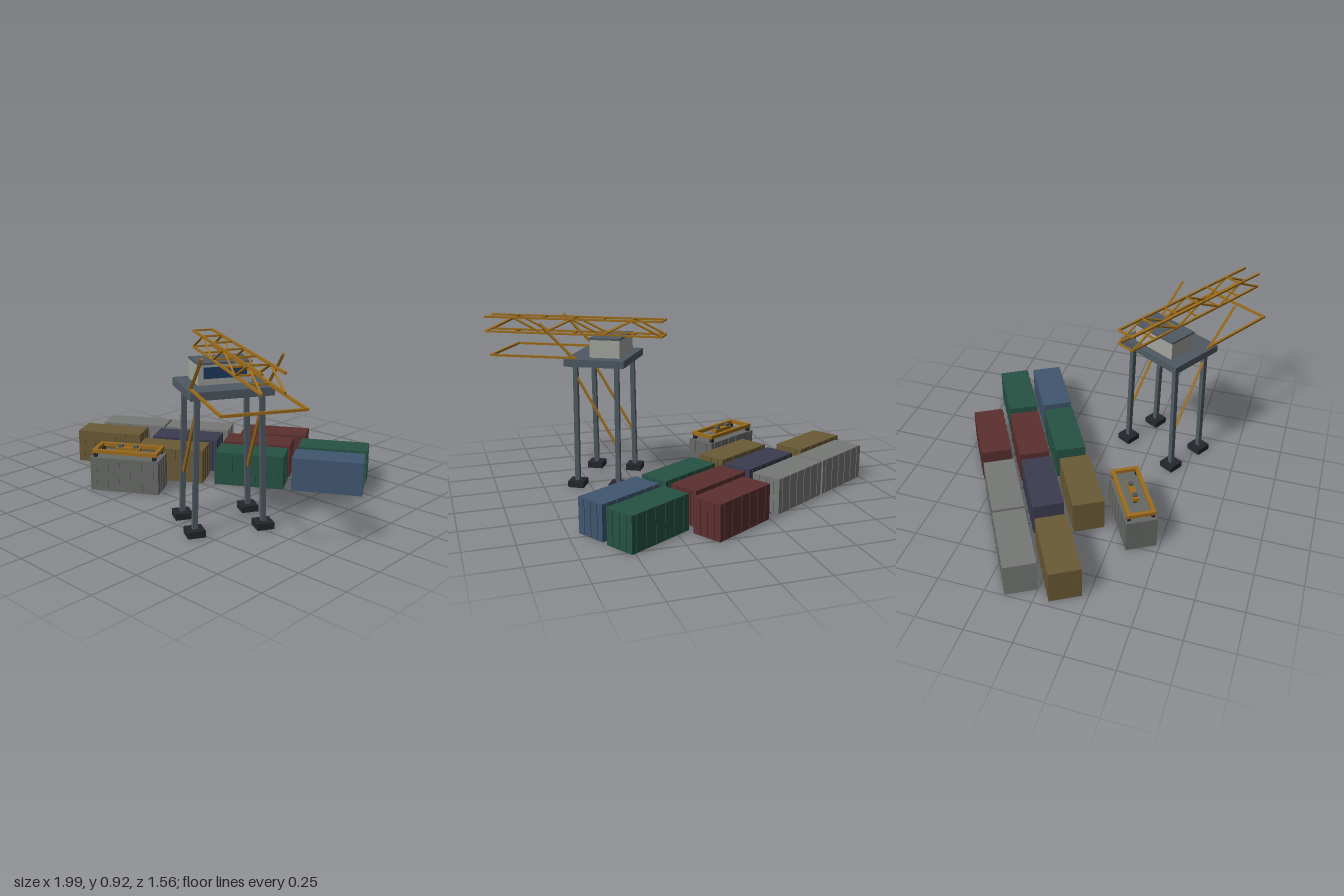
import * as THREE from 'three';

const mat = (color) => new THREE.MeshStandardMaterial({ color });
const steel = mat(0x4f5962), dark = mat(0x23272c), yellow = mat(0x9c6c1c);
const cabinGrey = mat(0xa2a49d), glass = mat(0x1f3a63);
const forward = new THREE.Vector3(0, 0, 1);

function box(parent, name, material, size, pos) {
  const mesh = new THREE.Mesh(new THREE.BoxGeometry(...size), material);
  mesh.name = name;
  mesh.position.set(...pos);
  parent.add(mesh);
  return mesh;
}

// Square bar running from point a to point b
function bar(parent, name, material, a, b, t) {
  const start = new THREE.Vector3(...a), span = new THREE.Vector3(...b).sub(start);
  const mesh = box(parent, name, material, [t, t, span.length()], a);
  mesh.position.addScaledVector(span, 0.5);
  mesh.quaternion.setFromUnitVectors(forward, span.normalize());
}

function group(parent, name, x, z, angle) {
  const g = new THREE.Group();
  g.name = name;
  g.position.set(x, 0, z);
  g.rotation.y = THREE.MathUtils.degToRad(angle);
  parent.add(g);
  return g;
}

// Shipping container with ribbed sides and door bars
function container(parent, x, z, color) {
  const g = group(parent, 'container', x, z, 30), m = mat(color);
  box(g, 'containerBody', m, [0.386, 0.188, 0.166], [0, 0.094, 0]);
  for (const s of [-1, 1]) {
    for (let i = 0; i < 6; i++) {
      box(g, 'sideRib', m, [0.012, 0.18, 0.003], [-0.16 + i * 0.064, 0.094, s * 0.0845]);
    }
    for (const d of [-0.045, 0, 0.045]) {
      box(g, 'endRib', m, [0.003, 0.18, 0.01], [s * 0.1945, 0.094, d]);
    }
  }
}

// Lifting frame resting on a container
function spreader(parent, x, z) {
  const g = group(parent, 'spreader', x, z, 30);
  for (const s of [-1, 1]) {
    box(g, 'longBeam', yellow, [0.366, 0.02, 0.02], [0, 0.22, s * 0.066]);
    box(g, 'endBeam', yellow, [0.02, 0.02, 0.152], [s * 0.173, 0.22, 0]);
    for (const t of [-1, 1]) {
      box(g, 'cornerLock', dark, [0.018, 0.024, 0.018], [s * 0.167, 0.199, t * 0.064]);
    }
    box(g, 'centrePost', dark, [0.018, 0.024, 0.018], [s * 0.043, 0.199, 0]);
    box(g, 'liftLug', steel, [0.024, 0.014, 0.024], [s * 0.043, 0.238, 0]);
  }
  box(g, 'centreBar', yellow, [0.14, 0.02, 0.032], [0, 0.222, 0]);
}

// Crane: local +x is the direction of the boom
function crane(parent) {
  const g = group(parent, 'crane', 0.375, 0.315, -30);
  box(g, 'platform', steel, [0.333, 0.04, 0.41], [0, 0.7, 0]);

  // Legs, feet and braces
  for (const v of [-1, 1]) {
    for (const u of [-1, 1]) {
      box(g, 'foot', dark, [0.088, 0.034, 0.088], [u * 0.117, 0.017, v * 0.175]);
      bar(g, 'leg', steel, [u * 0.117, 0.02, v * 0.175], [u * 0.115, 0.69, v * 0.159], 0.025);
    }
    bar(g, 'brace', yellow, [-0.117, 0.23, v * 0.17], [0.116, 0.63, v * 0.161], 0.013);
  }

  // Cabin with window and roof
  box(g, 'cabin', cabinGrey, [0.168, 0.1, 0.269], [-0.042, 0.77, 0]);
  box(g, 'window', glass, [0.006, 0.055, 0.212], [0.043, 0.778, 0]);
  box(g, 'roof', steel, [0.17, 0.01, 0.271], [-0.042, 0.822, 0]);

  // Lattice boom
  const x0 = -0.34, panel = 0.17, count = 6, low = 0.83, high = 0.912;
  for (const v of [-0.05, 0.05]) {
    for (const y of [low, high]) {
      bar(g, 'boomChord', yellow, [x0, y, v], [x0 + panel * count, y, v], 0.011);
    }
    for (let i = 0; i < count; i++) {
      const a = x0 + i * panel, up = i % 2 === 0;
      bar(g, 'boomDiagonal', yellow, [a, up ? low : high, v], [a + panel, up ? high : low, v], 0.009);
    }
  }
  for (let i = 0; i < count; i++) {
    for (const y of [low, high]) {
      bar(g, 'boomTie', yellow, [x0 + i * panel, y, -0.05], [x0 + i * panel, y, 0.05], 0.009);
    }
  }

  // Lower outrigger frame with its stays
  for (const v of [-0.19, 0.19]) {
    bar(g, 'outriggerArm', yellow, [0.1, 0.725, v], [0.59, 0.725, v], 0.012);
    bar(g, 'stay', yellow, [0.112, 0.72, v], [0.3, 0.905, v], 0.012);
  }
  bar(g, 'outriggerEnd', yellow, [0.584, 0.725, -0.19], [0.584, 0.725, 0.19], 0.012);
}

export function createModel() {
  const model = new THREE.Group();
  model.name = 'containerYard';
  const grey = 0x767876, brown = 0x6a5a36, red = 0x5c3030, green = 0x265244;
  const yard = [
    [-0.788, -0.168, grey], [-0.44, -0.368, grey],
    [-0.035, -0.603, red], [0.013, -0.395, red],
    [0.391, -0.608, green], [0.111, -0.215, green],
    [0.486, -0.428, 0x40566f], [-0.355, -0.18, 0x3c3c50],
    [-0.762, 0.052, brown], [-0.28, 0.017, brown],
    [-0.325, 0.315, 0x666866],
  ];
  for (const [x, z, color] of yard) container(model, x, z, color);
  spreader(model, -0.325, 0.315);
  crane(model);
  return model;
}
